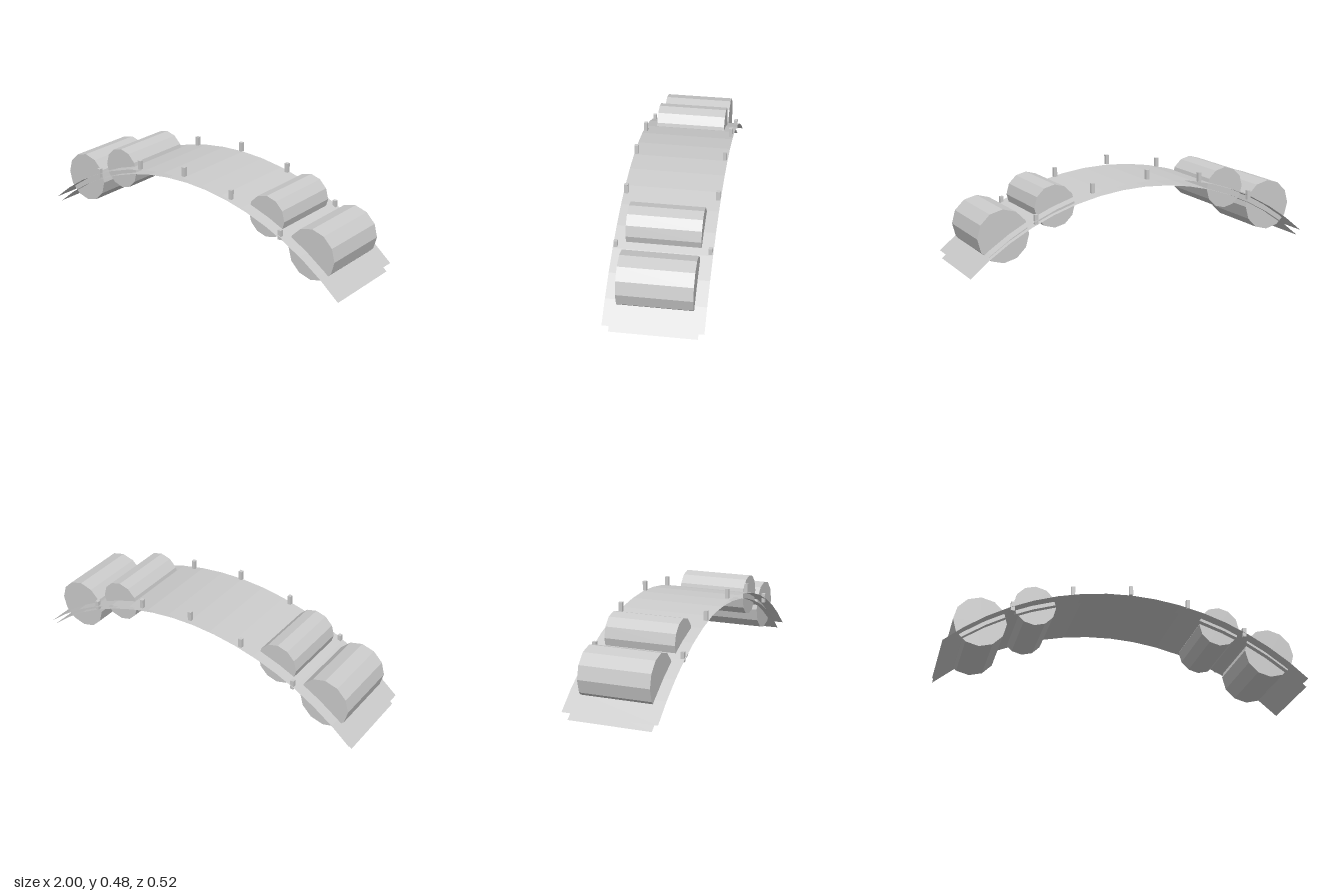
import * as THREE from 'three';

const material = new THREE.MeshStandardMaterial({ color: 0xcccccc, flatShading: true });
const sheetMaterial = new THREE.MeshStandardMaterial({ color: 0xcccccc, flatShading: true, side: THREE.DoubleSide });

// Thin sheet bent along a circular arc spanning x = -1..1
function archSheet(name, width, endY) {
  const rise = 0.383;
  const radius = (1 + rise * rise) / (2 * rise);
  const halfAngle = Math.asin(1 / radius);
  const geometry = new THREE.PlaneGeometry(2, width, 16, 1);
  geometry.rotateX(-Math.PI / 2);
  const p = geometry.attributes.position;
  for (let i = 0; i < p.count; i++) {
    const a = p.getX(i) * halfAngle;
    p.setXYZ(i, radius * Math.sin(a), endY + rise - radius * (1 - Math.cos(a)), p.getZ(i));
  }
  geometry.computeVertexNormals();
  const mesh = new THREE.Mesh(geometry, sheetMaterial);
  mesh.name = name;
  return mesh;
}

export function createModel() {
  const model = new THREE.Group();
  model.name = 'archBridge';

  // Upper deck and narrower under-sheet
  model.add(archSheet('deck', 0.516, 0.037));
  model.add(archSheet('underside', 0.452, 0));

  // Twelve-sided rollers lying across the deck, two at each end
  const rollers = [
    ['outerRoller', 0.806, 0.195, 0.142],
    ['innerRoller', 0.518, 0.324, 0.115],
  ];
  for (const [name, x, y, r] of rollers) {
    const geometry = new THREE.CylinderGeometry(r, r, 0.39, 12);
    geometry.rotateX(Math.PI / 2);
    for (const side of [-1, 1]) {
      const roller = new THREE.Mesh(geometry, material);
      roller.name = name;
      roller.position.set(side * x, y, 0);
      model.add(roller);
    }
  }

  // Small posts along both edges
  const postGeometry = new THREE.BoxGeometry(0.02, 0.052, 0.02);
  for (let i = -2; i <= 2; i++) {
    const x = i * 0.3225;
    for (const z of [-0.244, 0.244]) {
      const post = new THREE.Mesh(postGeometry, material);
      post.name = 'edgePost';
      post.position.set(x, 0.454 - 0.423 * x * x, z);
      model.add(post);
    }
  }

  return model;
}
